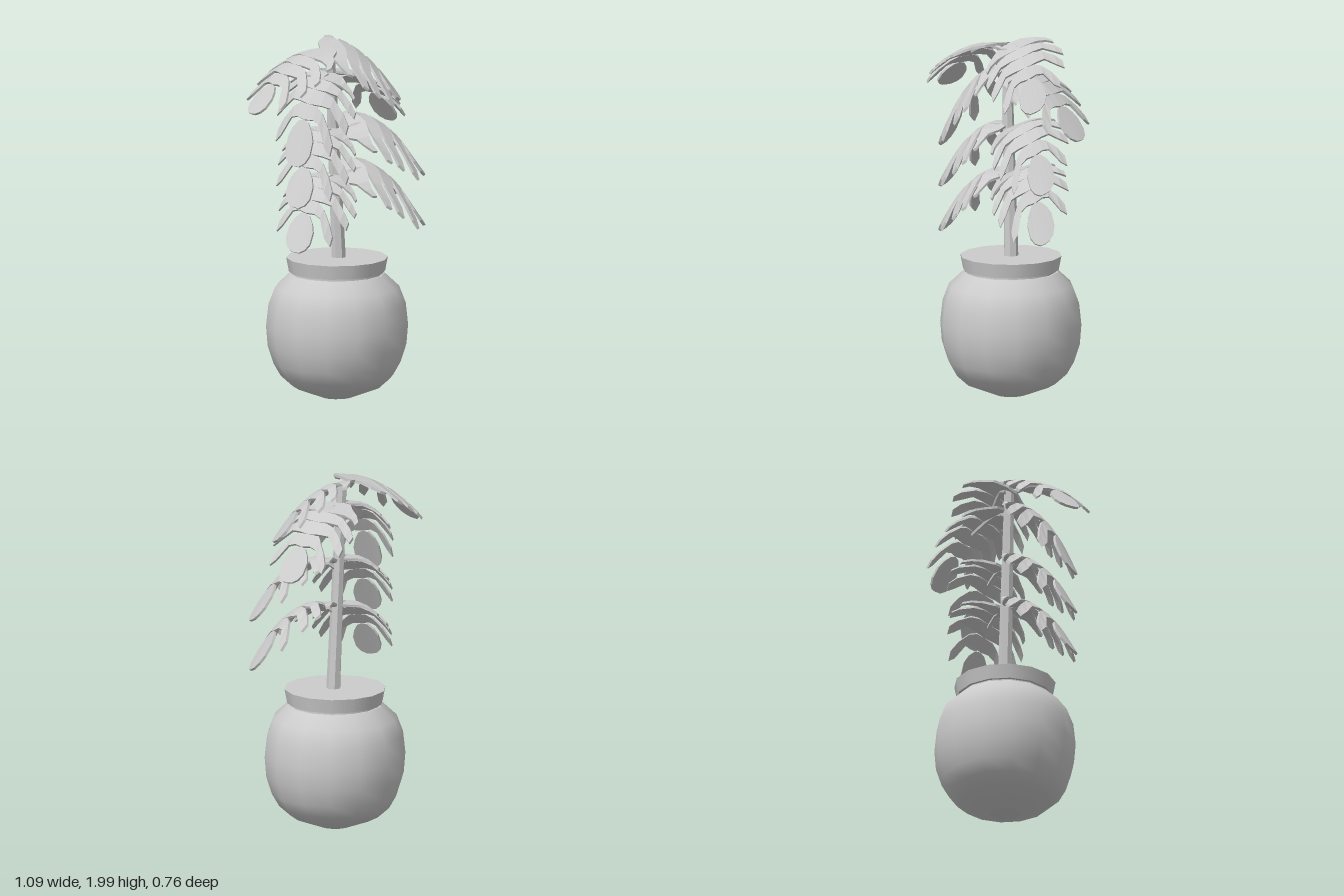
import * as THREE from 'three';

const mat = new THREE.MeshStandardMaterial({ color: 0xcccccc });
const flat = new THREE.MeshStandardMaterial({ color: 0xcccccc, flatShading: true, side: THREE.DoubleSide });
const V = (x, y, z) => new THREE.Vector3(x, y, z);
const UP = V(0, 1, 0);
const LEAF_LENGTH = 0.63, THICK = 0.014;

// Lobes of half a leaf: columns [distance from midrib, start, end along midrib]
const LOBES = [
  [[0, 0, 0.2], [0.07, 0.01, 0.188], [0.12, 0.075, 0.175], [0.17, 0.115, 0.18], [0.205, 0.17, 0.215]],
  [[0, 0.2, 0.295], [0.07, 0.195, 0.283], [0.13, 0.208, 0.275], [0.2, 0.262, 0.333], [0.235, 0.31, 0.357]],
  [[0, 0.295, 0.385], [0.07, 0.29, 0.375], [0.12, 0.303, 0.37], [0.185, 0.36, 0.432], [0.222, 0.41, 0.458]],
  [[0, 0.385, 0.46], [0.05, 0.385, 0.452], [0.09, 0.408, 0.462], [0.14, 0.465, 0.54], [0.175, 0.52, 0.563]],
  [[0, 0.46, 0.63], [0.03, 0.468, 0.628], [0.06, 0.5, 0.612], [0.078, 0.535, 0.585]],
];

// Arched split leaf along a curve, with its stalk underneath
function makeLeaf({ base, tip, lift, droop, roll = 0 }) {
  const a = V(...base), b = V(...tip);
  const mid = a.clone().lerp(b, 0.5).setY(a.y + lift);
  const rib = new THREE.QuadraticBezierCurve3(a, mid, b);
  const across = b.clone().sub(a).setY(0).normalize().cross(UP);
  across.multiplyScalar(Math.cos(roll)).addScaledVector(UP, -Math.sin(roll));

  const place = (s, w, h) => {
    const t = s / LEAF_LENGTH;
    const normal = across.clone().cross(rib.getTangent(t)).normalize();
    return rib.getPoint(t).addScaledVector(across, w).addScaledVector(normal, h - droop * w * w);
  };

  const pos = [];
  const quad = (p, q, r, s, flip) => {
    const order = flip ? [p, r, q, p, s, r] : [p, q, r, p, r, s];
    order.forEach(v => pos.push(v.x, v.y, v.z));
  };
  for (const side of [1, -1]) {
    for (const lobe of LOBES) {
      // Four corners per column: top start, top end, bottom end, bottom start
      const cols = lobe.map(([w, s0, s1]) => [
        place(s0, side * w, 0), place(s1, side * w, 0),
        place(s1, side * w, -THICK), place(s0, side * w, -THICK)]);
      for (let i = 0; i < cols.length - 1; i++) {
        for (let j = 0; j < 4; j++) {
          const k = (j + 1) % 4;
          quad(cols[i][j], cols[i + 1][j], cols[i + 1][k], cols[i][k], side < 0);
        }
      }
      const end = cols[cols.length - 1];
      quad(end[0], end[3], end[2], end[1], side < 0);
    }
  }
  const geo = new THREE.BufferGeometry();
  geo.setAttribute('position', new THREE.Float32BufferAttribute(pos, 3));
  geo.computeVertexNormals();
  const blade = new THREE.Mesh(geo, flat);
  blade.name = 'leafBlade';

  // Stalk from the stem, hugging the underside of the midrib
  const start = V(stemX(a.y - 0.05), a.y - 0.05, 0);
  const path = new THREE.CatmullRomCurve3([start, ...[0.1, 0.28, 0.5].map(s => place(s * LEAF_LENGTH, 0, -0.018))]);
  const stalk = new THREE.Mesh(new THREE.TubeGeometry(path, 6, 0.013, 5), flat);
  stalk.name = 'leafStalk';

  const leaf = new THREE.Group();
  leaf.name = 'leaf';
  leaf.add(blade, stalk);
  return leaf;
}

// The stem leans slightly toward -x as it rises
function stemX(y) {
  return 0.043 - 0.055 * (y - 0.78) / 1.17;
}

function lathe(name, points) {
  const profile = points.map(p => new THREE.Vector2(...p));
  const mesh = new THREE.Mesh(new THREE.LatheGeometry(profile, 14, Math.PI / 2), mat);
  mesh.position.x = 0.035;
  mesh.name = name;
  return mesh;
}

export function createModel() {
  const model = new THREE.Group();
  model.name = 'pottedPlant';

  // Round pot
  model.add(lathe('potBase', [[0, 0], [0.085, 0]]));
  model.add(lathe('potBody', [[0.085, 0], [0.245, 0.062], [0.31, 0.12], [0.35, 0.19], [0.382, 0.29],
    [0.391, 0.4], [0.378, 0.52], [0.342, 0.615], [0.262, 0.69]]));

  // Collar and soil: separate pieces keep their edges crisp
  model.add(lathe('potShoulder', [[0.262, 0.69], [0.25, 0.69]]));
  model.add(lathe('potNeck', [[0.25, 0.69], [0.25, 0.702]]));
  model.add(lathe('rimUnderside', [[0.25, 0.702], [0.265, 0.702]]));
  model.add(lathe('potRim', [[0.265, 0.702], [0.28, 0.78]]));
  model.add(lathe('soil', [[0.28, 0.78], [0, 0.78]]));

  // Leaning stem
  const path = new THREE.LineCurve3(V(stemX(0.76), 0.76, 0.003), V(stemX(1.93), 1.93, 0));
  const stem = new THREE.Mesh(new THREE.CylinderGeometry(0.028, 0.04, path.getLength(), 7), flat);
  stem.position.copy(path.getPoint(0.5));
  stem.quaternion.setFromUnitVectors(UP, path.getTangent(0));
  stem.name = 'stem';
  model.add(stem);

  // Leaves on the -x side, then on the +x side, top to bottom
  const leaves = [
    { base: [-0.03, 1.96, 0.05], tip: [-0.55, 1.65, 0.07], lift: 0.01, droop: 1.1 },
    { base: [0, 1.82, 0.01], tip: [-0.36, 1.36, 0.21], lift: 0.07, droop: 2, roll: -0.15 },
    { base: [0.02, 1.51, 0.01], tip: [-0.36, 1.13, 0.21], lift: 0.07, droop: 2, roll: -0.15 },
    { base: [0.03, 1.25, 0.01], tip: [-0.36, 0.88, 0.21], lift: 0.07, droop: 2, roll: -0.15 },
    { base: [-0.05, 1.95, -0.04], tip: [0.4, 1.65, 0.06], lift: 0.05, droop: 1.2, roll: 0.38 },
    { base: [0, 1.83, -0.01], tip: [0.48, 1.48, -0.18], lift: 0.03, droop: 1.1 },
    { base: [0.03, 1.49, 0.02], tip: [0.54, 1.22, 0.08], lift: 0.16, droop: 1.5, roll: 0.4 },
    { base: [0.03, 1.24, 0.02], tip: [0.54, 0.94, 0.08], lift: 0.16, droop: 1.5, roll: 0.4 },
  ];
  leaves.forEach(spec => model.add(makeLeaf(spec)));
  return model;
}
